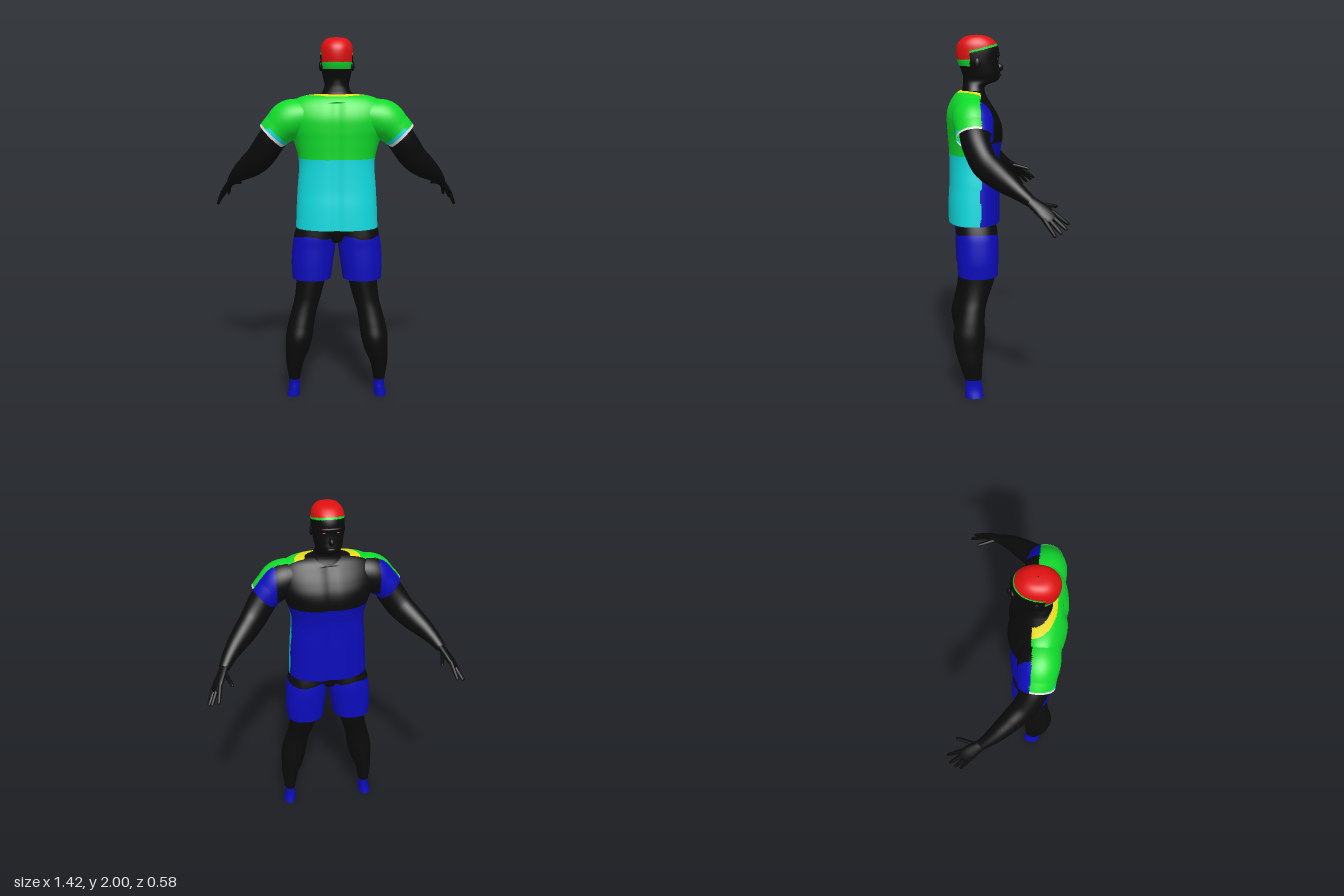
import * as THREE from 'three';

const paint = (name, color) => {
  const m = new THREE.MeshStandardMaterial({ color, side: THREE.DoubleSide });
  m.name = name;
  return m;
};
const [BLACK, RED, GREEN, YELLOW, CYAN, BLUE, WHITE] = [0, 1, 2, 3, 4, 5, 6];

// Smooth loft through keys [x, y, z, radiusA, radiusB].
// ref: direction of radiusA; upright keeps the slices horizontal;
// pick(point, t) gives the colour of a face; warp(point) reshapes vertices.
function loft(mats, name, keys, { rows = 40, seg = 40, ref = [1, 0, 0], upright = true, power = 2, pick = () => BLACK, warp } = {}) {
  const curve = (f) => new THREE.CatmullRomCurve3(keys.map(f), false, 'catmullrom', 0.5);
  const path = curve((k) => new THREE.Vector3(k[0], k[1], k[2]));
  const size = curve((k) => new THREE.Vector3(k[3], k[4], 0));
  const pts = [];
  const bend = (c) => Math.sign(c) * Math.abs(c) ** (2 / power);
  for (let i = 0; i <= rows; i++) {
    const c = path.getPoint(i / rows), r = size.getPoint(i / rows);
    const t = upright ? new THREE.Vector3(0, 1, 0) : path.getTangent(i / rows);
    const u = new THREE.Vector3(...ref);
    u.addScaledVector(t, -u.dot(t)).normalize();
    const v = u.clone().cross(t);
    for (let j = 0; j < seg; j++) {
      const a = (j / seg) * Math.PI * 2;
      const p = c.clone().addScaledVector(u, r.x * bend(Math.cos(a))).addScaledVector(v, r.y * bend(Math.sin(a)));
      if (warp) warp(p);
      pts.push(p);
    }
  }
  const buckets = mats.map(() => []);
  for (let i = 0; i < rows; i++) {
    for (let j = 0; j < seg; j++) {
      const a = i * seg + j, b = i * seg + (j + 1) % seg, c = a + seg, d = b + seg;
      for (const tri of [[a, c, b], [b, c, d]]) {
        const mid = new THREE.Vector3();
        tri.forEach((n) => mid.addScaledVector(pts[n], 1 / 3));
        buckets[pick(mid, (i + 0.5) / rows)].push(...tri);
      }
    }
  }
  const geo = new THREE.BufferGeometry().setFromPoints(pts);
  geo.setIndex(buckets.flat());
  let start = 0;
  buckets.forEach((b, m) => {
    if (b.length) geo.addGroup(start, b.length, m);
    start += b.length;
  });
  geo.computeVertexNormals();
  const mesh = new THREE.Mesh(geo, mats);
  mesh.name = name;
  return mesh;
}

// Horizontal slice from height, half width, front z and back z
const slice = ([y, rx, zf, zb]) => [0, y, (zf + zb) / 2, rx, (zb - zf) / 2];

export function createModel() {
  const group = new THREE.Group();
  const mats = [
    paint('black', 0x0b0b0b), paint('red', 0xe01010), paint('green', 0x10dc2c), paint('yellow', 0xf0e418),
    paint('cyan', 0x10dce0), paint('blue', 0x0c0cbc), paint('white', 0xdedede),
  ];
  const add = (...args) => group.add(loft(mats, ...args));

  // Shirt body: coloured back, blue front with a black chest, yellow collar
  const inside = (p, a, b) => (p.x / a) ** 2 + ((p.z - 0.12) / b) ** 2 < 1;
  add('shirt', [
    [0.98, 0.225, 0, 0.29], [1.1, 0.22, 0, 0.288], [1.2, 0.214, 0, 0.282], [1.34, 0.206, 0, 0.282],
    [1.45, 0.232, -0.016, 0.288], [1.52, 0.262, -0.01, 0.292], [1.58, 0.272, 0.015, 0.29],
    [1.635, 0.262, 0.048, 0.272], [1.675, 0.222, 0.075, 0.247], [1.696, 0.165, 0.1, 0.222],
    [1.705, 0.08, 0.12, 0.19],
  ].map(slice), {
    rows: 110, seg: 120, power: 2.35,
    warp: (p) => {
      // spine and breastbone grooves
      const groove = 0.012 * Math.exp(-((p.x / 0.03) ** 2));
      if (p.y < 1.66) p.z += p.z > 0.14 ? -groove : groove * 0.8;
    },
    pick: (p) => {
      const edge = 0.118 + 0.006 * Math.sin(p.y * 40);
      if (p.z < edge) return p.y > 1.43 ? BLACK : BLUE;
      if (p.y > 1.6 && inside(p, 0.125, 0.08)) return BLACK;
      if (p.y > 1.6 && inside(p, 0.18, 0.11)) return YELLOW;
      return p.y > 1.365 ? GREEN : CYAN;
    },
  });

  // Head, neck and two-tone cap
  add('head', [
    [1.66, 0.115, 0.065, 0.22], [1.7, 0.085, 0.08, 0.205], [1.73, 0.07, 0.072, 0.2], [1.755, 0.066, 0.012, 0.198],
    [1.785, 0.073, -0.004, 0.2], [1.82, 0.08, 0, 0.212], [1.86, 0.086, 0.004, 0.228], [1.91, 0.088, 0, 0.235],
    [1.95, 0.084, 0.012, 0.229], [1.98, 0.068, 0.042, 0.203], [1.995, 0.045, 0.075, 0.17], [2, 0.003, 0.12, 0.126],
  ].map(slice), {
    rows: 100, seg: 80, power: 2.15,
    pick: (p) => {
      const back = p.z > 0.165;
      const rim = back ? 1.835 : 1.945 - p.z * 0.25;
      if (p.y < rim) return BLACK;
      return p.y < rim + (back ? 0.035 : 0.012) ? GREEN : RED;
    },
  });

  // Small face parts
  const ball = (name, mat, pos, scale) => {
    const m = new THREE.Mesh(new THREE.SphereGeometry(1, 20, 14), mats[mat]);
    m.name = name;
    m.position.set(...pos);
    m.scale.set(...scale);
    group.add(m);
  };
  ball('nose', BLACK, [0, 1.825, 0], [0.015, 0.022, 0.022]);
  ball('lips', BLACK, [0, 1.785, 0], [0.026, 0.009, 0.012]);
  ball('brow', BLACK, [0, 1.893, 0.012], [0.055, 0.01, 0.017]);

  // Pelvis between the shorts legs
  add('pelvis', [[0.9, 0.07, 0.06, 0.21], [0.95, 0.13, 0.035, 0.235], [1.02, 0.19, 0.03, 0.245]].map(slice));

  for (const s of [1, -1]) {
    const side = s > 0 ? 'left' : 'right';
    const flip = (keys) => keys.map(([x, ...rest]) => [s * x, ...rest]);
    ball(side + 'Eye', RED, [s * 0.033, 1.872, 0.013], [0.013, 0.004, 0.005]);
    ball(side + 'Ear', BLACK, [s * 0.085, 1.85, 0.125], [0.01, 0.028, 0.017]);

    // Sleeve with cuff
    add(side + 'Sleeve', flip([
      [0.16, 1.585, 0.165, 0.095, 0.1], [0.25, 1.565, 0.16, 0.108, 0.108],
      [0.31, 1.52, 0.156, 0.094, 0.1], [0.352, 1.478, 0.155, 0.086, 0.095],
    ]), {
      rows: 50, seg: 64, ref: [0, 1, 0], upright: false,
      pick: (p, t) => {
        const x = Math.abs(p.x);
        if (p.z < 0.122) return x < 0.285 && p.y > 1.47 ? BLACK : BLUE;
        if (t > 0.92) return WHITE;
        return t > 0.8 && p.y < 1.525 ? CYAN : GREEN;
      },
    });

    // Arm from under the sleeve to the wrist
    add(side + 'Arm', flip([
      [0.29, 1.53, 0.156, 0.075, 0.078], [0.35, 1.46, 0.15, 0.078, 0.076], [0.415, 1.367, 0.115, 0.078, 0.066],
      [0.475, 1.312, 0.055, 0.07, 0.06], [0.53, 1.27, -0.005, 0.055, 0.05], [0.57, 1.235, -0.055, 0.04, 0.04],
      [0.603, 1.198, -0.105, 0.028, 0.03],
    ]), { ref: [0, 1, 0], upright: false });

    // Palm, fingers and thumb
    const spread = [0.54, -0.49, 0.69];
    const ref = [s * spread[0], spread[1], spread[2]];
    add(side + 'Palm', flip([
      [0.592, 1.212, -0.085, 0.028, 0.022], [0.62, 1.178, -0.135, 0.036, 0.02],
      [0.645, 1.145, -0.175, 0.042, 0.018], [0.663, 1.122, -0.205, 0.03, 0.01], [0.666, 1.118, -0.21, 0.002, 0.002],
    ]), { rows: 20, seg: 24, ref, upright: false });
    const digit = (name, a, b) => {
      const at = (t, r) => [...a.map((v, i) => v + (b[i] - v) * t), r, r];
      add(side + name, flip([at(0, 0.012), at(0.5, 0.011), at(0.92, 0.008), at(1, 0.001)]),
        { rows: 12, seg: 12, ref, upright: false });
    };
    [[0.65, 1.09, -0.288], [0.688, 1.072, -0.272], [0.704, 1.055, -0.245], [0.706, 1.04, -0.215]].forEach((tip, i) => {
      const k = (i - 1.5) * 0.021;
      digit('Finger' + (i + 1), [0.65 + spread[0] * k, 1.14 + spread[1] * k, -0.182 + spread[2] * k], tip);
    });
    digit('Thumb', [0.605, 1.19, -0.13], [0.568, 1.165, -0.245]);

    // Shorts leg, black above the waist line
    add(side + 'ShortsLeg', flip([
      [0.14, 0.69, 0.132, 0.108, 0.112], [0.136, 0.78, 0.132, 0.116, 0.115], [0.127, 0.87, 0.132, 0.119, 0.116],
      [0.12, 0.93, 0.135, 0.117, 0.115], [0.108, 1.01, 0.14, 0.104, 0.105],
    ]), {
      rows: 60, seg: 56, power: 2.3,
      pick: (p) => (p.y > 0.932 + 0.008 * Math.sin(p.x * 30) ? BLACK : BLUE),
    });

    // Leg with ankle sock
    add(side + 'Leg', flip([
      [0.248, 0, 0.16, 0.037, 0.052], [0.242, 0.05, 0.166, 0.031, 0.048], [0.241, 0.1, 0.167, 0.032, 0.047],
      [0.238, 0.2, 0.18, 0.048, 0.065], [0.222, 0.28, 0.187, 0.065, 0.08], [0.211, 0.36, 0.187, 0.075, 0.088],
      [0.2, 0.43, 0.18, 0.073, 0.081], [0.185, 0.5, 0.17, 0.07, 0.076], [0.168, 0.56, 0.157, 0.071, 0.08],
      [0.155, 0.62, 0.145, 0.075, 0.09], [0.145, 0.69, 0.135, 0.081, 0.099], [0.135, 0.8, 0.133, 0.088, 0.1],
    ]), { rows: 80, seg: 40, pick: (p) => (p.y < 0.105 ? BLUE : BLACK) });
  }
  return group;
}
